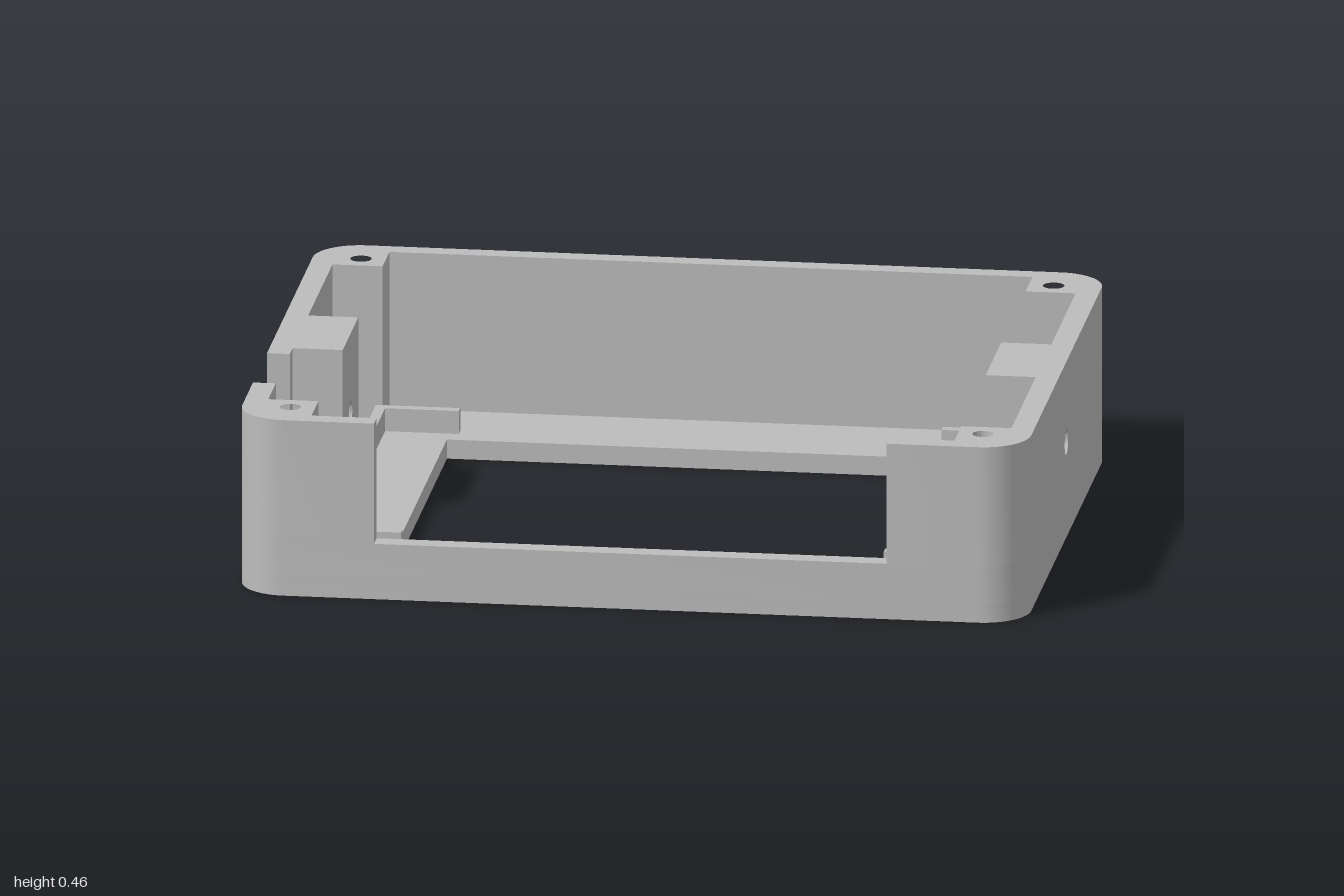
import * as THREE from 'three';
import { toCreasedNormals } from 'three/addons/utils/BufferGeometryUtils.js';

const HX = 1, HZ = 0.775, R = 0.12;            // outer half sizes and corner radius
const IX = 0.942, IZ = 0.725;                  // inner wall faces
const PX = 0.815, PZ = 0.597, BZ = 0.145;      // corner posts and side blocks
const FLOOR = 0.05, SILL = 0.145, TOP = 0.46;
const V = (x, z) => new THREE.Vector2(x, z);

// Rounded outer corner, running from the side face to the front or back face
function corner(sx, sz) {
  const pts = [];
  for (let i = 0; i <= 12; i++) {
    const a = (i / 12) * Math.PI / 2;
    pts.push(V(sx * (HX - R + R * Math.cos(a)), sz * (HZ - R + R * Math.sin(a))));
  }
  return pts;
}

const circle = (x, y, r) => new THREE.Path().absarc(x, y, r, 0, Math.PI * 2, true);
const screwHole = (sx, sz) => circle(sx * 0.878, sz * 0.657, 0.027);

function outline() {
  return new THREE.Shape([
    ...corner(1, 1), ...corner(-1, 1).reverse(),
    ...corner(-1, -1), ...corner(1, -1).reverse()]);
}

export function createModel() {
  const group = new THREE.Group();
  const grey = new THREE.MeshStandardMaterial({ color: 0xbcbcbc });
  grey.name = 'grey plastic';

  function add(name, geometry) {
    const mesh = new THREE.Mesh(geometry, grey);
    mesh.name = name;
    group.add(mesh);
  }
  // Plan shape (x, z) raised from y0 to y1
  function slab(name, shape, y0, y1) {
    const g = new THREE.ExtrudeGeometry(shape, { depth: y1 - y0, bevelEnabled: false, curveSegments: 24 });
    g.rotateX(Math.PI / 2).translate(0, y1, 0);
    add(name, toCreasedNormals(g, 0.5));
  }

  // Floor with the off-centre window
  const floor = outline();
  floor.holes.push(new THREE.Path([V(-0.635, -0.473), V(-0.635, 0.473), V(0.758, 0.473), V(0.758, -0.473)]));
  slab('floor', floor, 0, FLOOR);

  // Lower wall ring, with posts and blocks in its inner contour
  const quarter = (sx, sz) => [V(PX, 0), V(PX, BZ), V(IX, BZ), V(IX, PZ), V(PX, PZ), V(PX, IZ)]
    .map(p => V(p.x * sx, p.y * sz));
  const ring = outline();
  ring.holes.push(new THREE.Path([
    ...quarter(1, 1), ...quarter(-1, 1).reverse(),
    ...quarter(-1, -1).slice(1), ...quarter(1, -1).reverse().slice(0, -1)]));
  slab('lowerWall', ring, FLOOR, SILL);

  // Upper back wall with both back posts
  const back = new THREE.Shape([
    V(HX, -BZ), ...corner(1, -1), ...corner(-1, -1).reverse(), V(-HX, -BZ),
    V(-IX, -BZ), V(-IX, -PZ), V(-PX, -PZ), V(-PX, -IZ),
    V(PX, -IZ), V(PX, -PZ), V(IX, -PZ), V(IX, -BZ)]);
  back.holes.push(screwHole(1, -1), screwHole(-1, -1));
  slab('upperBackWall', back, SILL, TOP);

  // Upper front corners either side of the front opening
  for (const [name, s, z0] of [['frontLeftCorner', 1, BZ], ['frontRightCorner', -1, 0.457]]) {
    const shape = new THREE.Shape([
      V(s * HX, z0), ...corner(s, 1), V(s * 0.65, HZ), V(s * 0.65, IZ),
      V(s * PX, IZ), V(s * PX, PZ), V(s * IX, PZ), V(s * IX, z0)]);
    shape.holes.push(screwHole(s, 1));
    slab(name, shape, SILL, TOP);
  }

  // Short wall between the right block and the side slot
  slab('slotWall', new THREE.Shape([V(-HX, BZ), V(-IX, BZ), V(-IX, 0.197), V(-HX, 0.197)]), SILL, TOP);

  // Side blocks drilled along x
  const block = new THREE.Shape([V(-BZ, SILL), V(BZ, SILL), V(BZ, TOP), V(-BZ, TOP)]);
  block.holes.push(circle(0, 0.25, 0.033));
  for (const [name, x] of [['leftBlock', PX], ['rightBlock', -HX]]) {
    const g = new THREE.ExtrudeGeometry(block, { depth: HX - PX, bevelEnabled: false, curveSegments: 24 });
    g.rotateY(Math.PI / 2).translate(x, 0, 0);
    add(name, toCreasedNormals(g, 0.5));
  }

  // L-shaped locating ribs on the floor
  const t = 0.027, rx = 0.826, rz = 0.552;
  for (const sx of [-1, 1]) for (const sz of [-1, 1]) {
    const pts = [[rx, rz], [0.612, rz], [0.612, rz - t], [rx - t, rz - t], [rx - t, 0.342], [rx, 0.342]];
    slab('locatingRib', new THREE.Shape(pts.map(([x, z]) => V(x * sx, z * sz))), FLOOR, FLOOR + 0.06);
  }
  return group;
}
